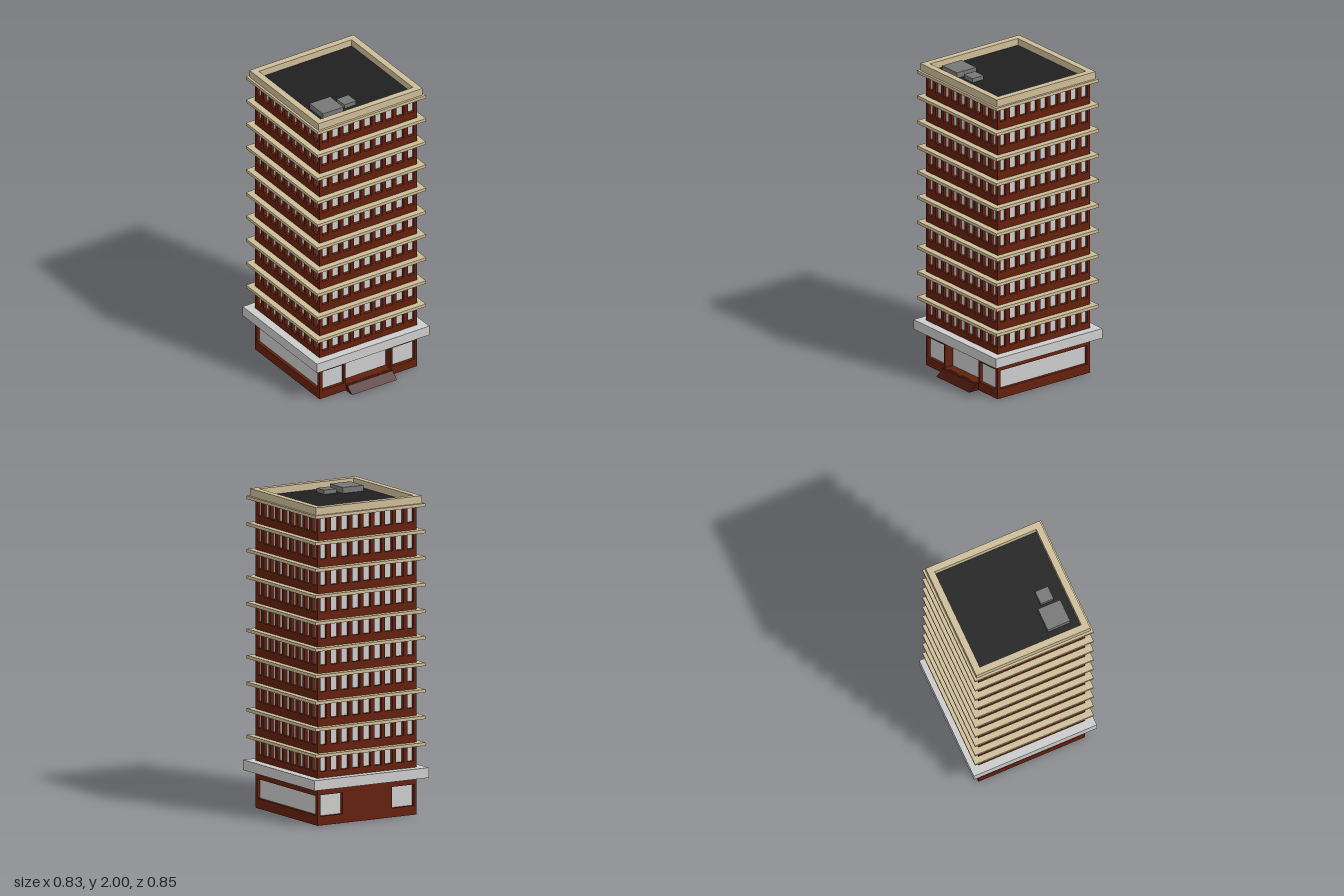
import * as THREE from 'three';

const mat = (color) => new THREE.MeshStandardMaterial({ color });
const H = 0.36;        // half width of the brick body
const T = 0.02;        // wall thickness, so the depth of the window recesses

export function createModel() {
  const brick = mat(0x64200d), darkBrick = mat(0x43150a), tan = mat(0xcdbd98);
  const grey = mat(0xcccccc), roofing = mat(0x202020), unitGrey = mat(0x777777);

  const model = new THREE.Group();
  const building = new THREE.Group();
  building.name = 'building';
  building.position.z = -0.009;
  model.add(building);

  const add = (name, geometry, material, parent = building) => {
    const mesh = new THREE.Mesh(geometry, material);
    mesh.name = name;
    parent.add(mesh);
    return mesh;
  };
  // Box given by its limits on each axis
  const box = (name, material, x0, x1, y0, y1, z0, z1, parent) => {
    const mesh = add(name, new THREE.BoxGeometry(x1 - x0, y1 - y0, z1 - z0), material, parent);
    mesh.position.set((x0 + x1) / 2, (y0 + y1) / 2, (z0 + z1) / 2);
    return mesh;
  };
  const block = (name, material, half, y0, y1) =>
    box(name, material, -half, half, y0, y1, -half, half);
  const outline = (P, [x0, x1, y0, y1]) => {
    const p = new P();
    p.moveTo(x0, y0);
    p.lineTo(x1, y0);
    p.lineTo(x1, y1);
    p.lineTo(x0, y1);
    p.closePath();
    return p;
  };
  const panel = (rect, holes, depth) => {
    const shape = outline(THREE.Shape, rect);
    shape.holes = holes.map((h) => outline(THREE.Path, h));
    return new THREE.ExtrudeGeometry(shape, { depth, bevelEnabled: false });
  };
  // Wall with openings on side 0 front, 1 left (+x), 2 back, 3 right (-x)
  const wall = (name, side, geometry) => {
    const pivot = new THREE.Group();
    pivot.name = name;
    pivot.rotation.y = side * Math.PI / 2;
    building.add(pivot);
    add(name + 'Panel', geometry, brick, pivot).position.z = H - T;
  };

  // Ground floor
  const baseTop = 0.042, groundTop = 0.24, inner = H - T, porch = 0.30;
  block('plinth', brick, H, 0, baseTop);
  const shopWindows = [-1, 1].map((s) => [s * 0.26 - 0.08, s * 0.26 + 0.08, 0.057, 0.19]);
  const door = [-0.168, 0.168, baseTop + 0.001, 0.203];
  const sideWindow = [[-0.338, 0.338, 0.062, 0.184]];
  [[...shopWindows, door], sideWindow, shopWindows, sideWindow].forEach((holes, side) =>
    wall('groundWall', side, panel([-H, H, baseTop, groundTop], holes, T)));
  box('groundGlazing', grey, -inner, inner, baseTop, groundTop, -inner, porch);
  for (const s of [-1, 1]) {
    const span = (a, b) => (s > 0 ? [a, b] : [-b, -a]);
    box('shopGlazing', grey, ...span(0.178, inner), baseTop, groundTop, porch, inner);
    box('doorJamb', brick, ...span(0.168, 0.178), baseTop, groundTop, porch, inner);
  }
  box('doorLintel', brick, -0.168, 0.168, 0.203, groundTop, porch, inner);

  // Sloped entrance step
  const ramp = new THREE.Shape();
  ramp.moveTo(0, 0);
  ramp.lineTo(0.07, 0);
  ramp.lineTo(0.02, baseTop);
  ramp.lineTo(0, baseTop);
  const step = add('entranceStep',
    new THREE.ExtrudeGeometry(ramp, { depth: 0.332, bevelEnabled: false }), darkBrick);
  step.rotation.y = -Math.PI / 2;
  step.position.set(0.166, 0, H);

  // Canopy slab over the ground floor
  block('canopySlab', grey, 0.415, 0.233, 0.297);

  // Ten storeys of recessed windows, each capped by a ledge
  const storeys = 10, pitch = 0.1665, firstLedge = 0.454, ledge = 0.02;
  block('towerGlazing', grey, inner, 0.29, 1.94);
  for (let i = 0; i < storeys; i++) {
    const top = firstLedge + i * pitch;
    const bottom = i ? top - pitch : 0.297;
    const holes = [];
    for (let k = -4; k <= 4; k++) {
      const w = Math.abs(k) === 4 ? 0.023 : 0.0265;
      const x = k * 0.079;
      holes.push([x - w, x + w, top - 0.117, top - ledge - 0.004]);
    }
    const storeyWall = panel([-H, H, bottom, top - ledge], holes, T);
    for (let side = 0; side < 4; side++) wall('storeyWall', side, storeyWall);
    block('storeyLedge', tan, 0.40, top - ledge, top);
  }

  // Parapet ring, roof surface and rooftop units
  const roofY = firstLedge + (storeys - 1) * pitch;
  const parapet = add('parapet', panel([-0.385, 0.385, -0.385, 0.385],
    [[-0.342, 0.342, -0.342, 0.342]], 2 - roofY), tan);
  parapet.rotation.x = -Math.PI / 2;
  parapet.position.y = roofY;
  block('roof', roofing, 0.342, roofY - 0.005, roofY + 0.003);
  box('largeRoofUnit', unitGrey, -0.288, -0.137, roofY, 1.992, 0.14, 0.291);
  box('smallRoofUnit', unitGrey, -0.11, -0.022, roofY, 1.982, 0.172, 0.259);

  return model;
}
